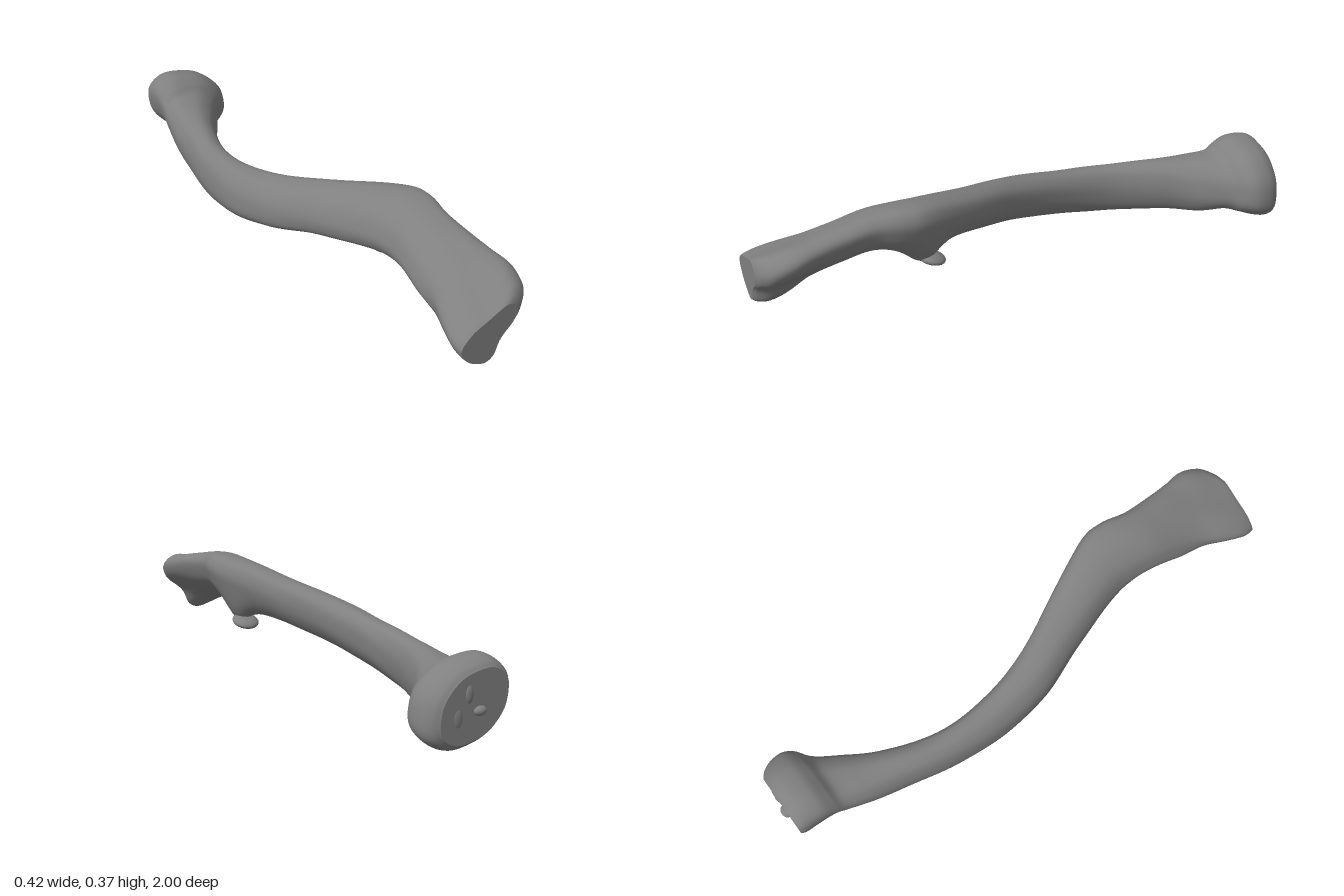
import * as THREE from 'three';

const SIDES = 64, STEPS = 10;
const material = new THREE.MeshStandardMaterial({ color: 0x808080 });

// Stations along the bone: [z, xMin, xMax, yMin, yMax, skew]
const stations = [
  [1.0, -0.138, 0.085, 0.069, 0.258, 0.8],
  [0.985, -0.141, 0.115, 0.066, 0.272, 0.8],
  [0.95, -0.140, 0.150, 0.070, 0.290, 0.8],
  [0.88, -0.120, 0.166, 0.094, 0.314, 0.75],
  [0.8, -0.092, 0.156, 0.130, 0.328, 0.65],
  [0.7, -0.074, 0.146, 0.166, 0.344, 0.55],
  [0.6, -0.060, 0.144, 0.188, 0.364, 0.48],
  [0.5, -0.050, 0.163, 0.180, 0.373, 0.42],
  [0.4, -0.060, 0.152, 0.160, 0.365, 0.42],
  [0.2, -0.120, 0.062, 0.128, 0.314, 0.38],
  [0.0, -0.188, -0.030, 0.080, 0.265, 0.32],
  [-0.2, -0.208, -0.075, 0.038, 0.224, 0.25],
  [-0.4, -0.192, -0.070, 0.013, 0.205, 0.1],
  [-0.6, -0.152, 0.000, 0.006, 0.207, 0],
  [-0.72, -0.128, 0.075, 0.004, 0.213, -0.1],
  [-0.8, -0.110, 0.130, 0.024, 0.222, -0.2],
  [-0.84, -0.104, 0.180, 0.026, 0.252, -0.3],
  [-0.88, -0.102, 0.204, 0.016, 0.273, -0.35],
  [-0.93, -0.099, 0.204, 0.001, 0.273, -0.35],
  [-0.965, -0.096, 0.188, 0.002, 0.260, -0.35],
  [-0.983, -0.088, 0.165, 0.018, 0.242, -0.35],
];

// Flared outline of the flat front end, in a -1..1 box, counter-clockwise
const flare = new THREE.CatmullRomCurve3([
  [1, 0.7], [0.65, 1], [0, 0.74], [-0.65, 0.42], [-1, 0], [-0.92, -0.4],
  [-0.65, -0.72], [-0.1, -1], [0.2, -0.85], [0.42, -0.3], [0.9, 0.25],
].map(([x, y]) => new THREE.Vector3(x, y, 0)), true).getSpacedPoints(SIDES);

const spine = new THREE.CatmullRomCurve3(
  stations.map(s => new THREE.Vector3(s[1], s[2], s[0])), false, 'catmullrom', 0.5);
const heights = new THREE.CatmullRomCurve3(
  stations.map(s => new THREE.Vector3(s[3], s[4], s[5])), false, 'catmullrom', 0.5);

const soften = v => Math.sign(v) * Math.abs(v) ** 0.92;
const bell = (v, centre, width) => Math.exp(-(((v - centre) / width) ** 2));

// One closed cross-section: a skewed oval that turns into the flare near the front
function section(u) {
  const a = spine.getPoint(u), h = heights.getPoint(u), z = a.z;
  const w = THREE.MathUtils.smoothstep(z, 0.68, 0.95);
  const points = [];
  for (let k = 0; k < SIDES; k++) {
    const t = k / SIDES * Math.PI * 2;
    const rough = 1 + 0.012 * Math.sin(3 * t + 11 * z) * Math.sin(5 * t - 17 * z);
    const x = THREE.MathUtils.lerp(soften(Math.cos(t)), flare[k].x, w) * rough;
    const y = THREE.MathUtils.lerp(soften(Math.sin(t + h.z)), flare[k].y, w) * rough;
    const px = (a.x + a.y) / 2 + x * (a.y - a.x) / 2;
    // The underside swells into the root of the hooked knob
    const swell = 0.06 * bell(z, 0.42, 0.07) * bell(px, 0.085, 0.045)
      * THREE.MathUtils.smoothstep(-y, -0.1, 0.5);
    points.push(new THREE.Vector3(px, (h.x + h.y) / 2 + y * (h.y - h.x) / 2 - swell, z));
  }
  return points;
}

function build(points, index) {
  const g = new THREE.BufferGeometry().setFromPoints(points);
  g.setIndex(index);
  g.computeVertexNormals();
  return g;
}

// Skin stretched over all sections
function shaftGeometry() {
  const points = [], index = [], rows = (stations.length - 1) * STEPS;
  for (let i = 0; i <= rows; i++) {
    points.push(...section(i / rows));
    if (i === rows) break;
    for (let k = 0; k < SIDES; k++) {
      const n = (k + 1) % SIDES, r = i * SIDES, s = r + SIDES;
      index.push(r + k, s + k, r + n, r + n, s + k, s + n);
    }
  }
  return build(points, index);
}

// Flat end closed by a fan
function capGeometry(u, front) {
  const rim = section(u), centre = new THREE.Vector3(), index = [];
  rim.forEach(p => centre.addScaledVector(p, 1 / SIDES));
  for (let k = 0; k < SIDES; k++) {
    const n = (k + 1) % SIDES;
    index.push(SIDES, front ? k : n, front ? n : k);
  }
  return build([...rim, centre], index);
}

export function createModel() {
  const model = new THREE.Group();
  model.name = 'collarbone';
  const add = (name, geometry) => {
    const mesh = new THREE.Mesh(geometry, material);
    mesh.name = name;
    model.add(mesh);
    return mesh;
  };
  const lump = (name, position, radii, pitch = 0) => {
    const mesh = add(name, new THREE.SphereGeometry(1, 24, 16));
    mesh.position.set(...position);
    mesh.scale.set(...radii);
    mesh.rotation.x = pitch;
  };

  add('shaft', shaftGeometry());
  add('frontEndFace', capGeometry(0, true));
  add('backEndFace', capGeometry(1, false));

  // Tip of the hooked knob under the front bend
  lump('knobTip', [0.072, 0.126, 0.385], [0.05, 0.02, 0.052], -0.32);

  // Small bumps on the back joint face
  lump('jointBumpLarge', [0.02, 0.115, -0.982], [0.024, 0.016, 0.018]);
  lump('jointBumpUpper', [0.06, 0.17, -0.98], [0.016, 0.03, 0.008]);
  lump('jointBumpSide', [0.1, 0.1, -0.978], [0.02, 0.035, 0.008]);

  return model;
}
